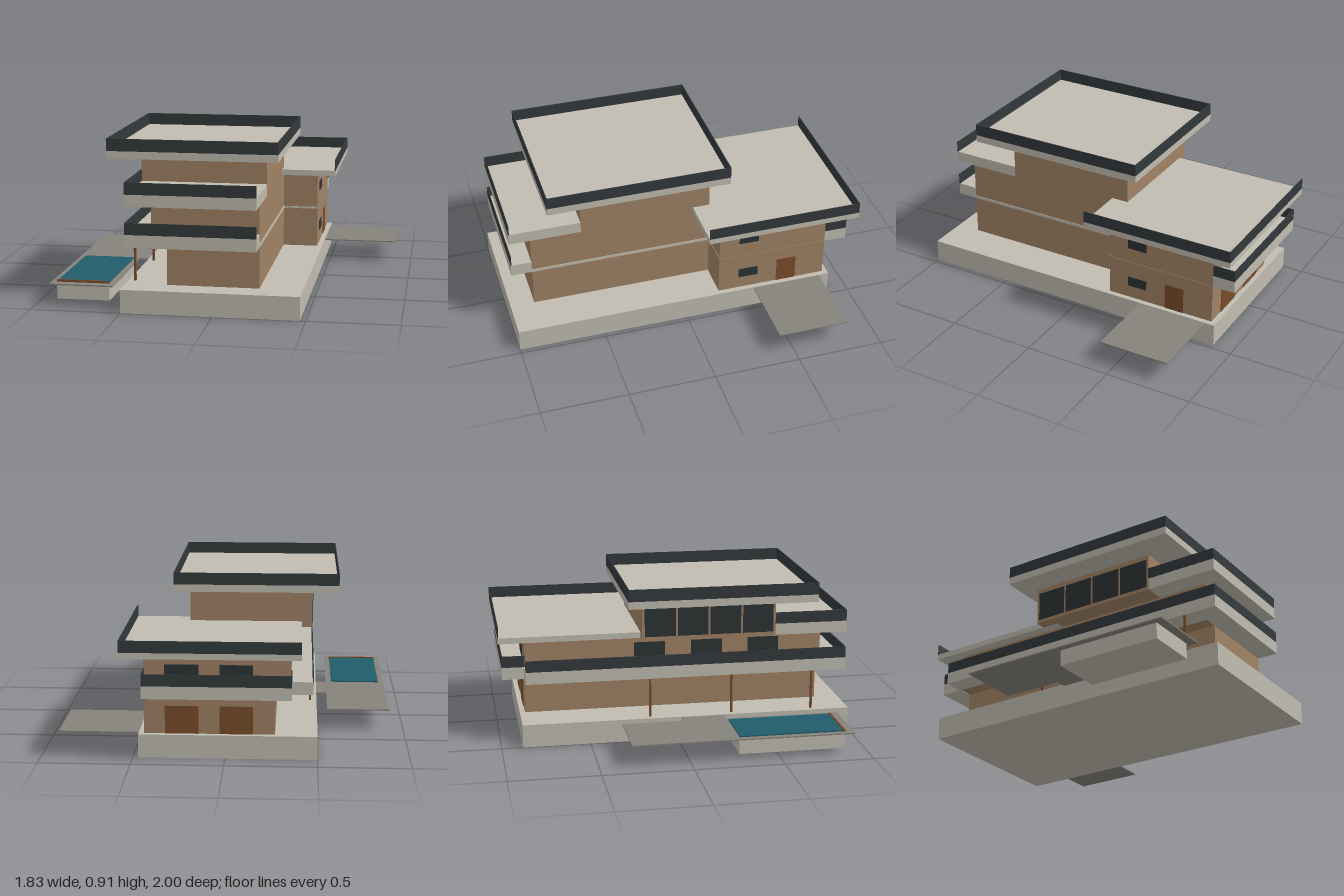
import * as THREE from 'three';

const material = (name, color) => {
  const m = new THREE.MeshStandardMaterial({ color });
  m.name = name;
  return m;
};

export function createModel() {
  const house = new THREE.Group();
  house.name = 'house';

  const concrete = material('concrete', 0xc0bcb0);
  const wall = material('wallTan', 0xa08264);
  const dark = material('parapetCharcoal', 0x33393b);
  const glass = material('windowGlass', 0x2b3234);
  const wood = material('doorWood', 0x7a4c2a);
  const paving = material('paving', 0x86827b);
  const water = material('poolWater', 0x215c6b);

  // Box given by its extents on each axis
  const box = (name, mat, [x0, x1], [y0, y1], [z0, z1], parent = house) => {
    const mesh = new THREE.Mesh(new THREE.BoxGeometry(x1 - x0, y1 - y0, z1 - z0), mat);
    mesh.position.set((x0 + x1) / 2, (y0 + y1) / 2, (z0 + z1) / 2);
    mesh.name = name;
    parent.add(mesh);
    return mesh;
  };

  // Slab with thin upright parapets on the chosen edges
  const T = 0.005;
  const terrace = (name, x, z, [y0, y1, y2], sides) => {
    const g = new THREE.Group();
    g.name = name;
    house.add(g);
    box('slab', concrete, x, [y0, y1], z, g);
    const edges = {
      left: [[x[0], x[0] + T], z],
      right: [[x[1] - T, x[1]], z],
      back: [x, [z[0], z[0] + T]],
      front: [x, [z[1] - T, z[1]]],
    };
    for (const s of sides) box('parapet', dark, edges[s][0], [y1, y2], edges[s][1], g);
  };

  // Plinth
  box('plinth', concrete, [-0.5, 0.47], [0, 0.13], [-0.88, 1.0]);

  // Walls, floor by floor
  box('groundFloor', wall, [-0.27, 0.235], [0.13, 0.36], [-0.85, 0.86]);
  box('groundWing', wall, [0.235, 0.44], [0.13, 0.36], [-0.85, -0.2]);
  box('middleFloor', wall, [-0.355, 0.235], [0.36, 0.58], [-0.85, 0.86]);
  box('middleWing', wall, [0.235, 0.44], [0.372, 0.58], [-0.85, -0.2]);
  box('wingFloorBand', wall, [0.235, 0.437], [0.36, 0.372], [-0.85, -0.203]);
  box('wingFloorEdge', concrete, [0.235, 0.44], [0.361, 0.371], [-0.203, -0.2]);
  box('floorEdge', concrete, [0.235, 0.238], [0.358, 0.375], [-0.2, 0.86]);
  box('upperFloor', wall, [-0.47, 0.235], [0.58, 0.8], [-0.2, 0.565]);

  // Balconies and roofs
  const low = [0.357, 0.427, 0.492];
  terrace('frontBalcony', [-0.475, 0.235], [0.86, 0.98], low, ['front']);
  terrace('sideBalcony', [-0.475, -0.355], [-0.855, 0.98], low, ['left']);
  terrace('backBalcony', [-0.36, 0.44], [-0.98, -0.85], low, ['back', 'left', 'right']);
  terrace('upperTerrace', [-0.475, 0.235], [0.565, 0.98], [0.58, 0.645, 0.71], ['front', 'left']);
  terrace('wingRoof', [-0.41, 0.555], [-1.0, -0.1], [0.58, 0.613, 0.678], ['back', 'right']);
  terrace('mainRoof', [-0.62, 0.322], [-0.297, 0.77], [0.8, 0.842, 0.91],
    ['left', 'right', 'front', 'back']);

  // Posts under the side balcony
  for (const z of [-0.155, 0.315, 0.785]) {
    box('post', wood, [-0.469, -0.457], [0.13, 0.357], [z - 0.006, z + 0.006]);
  }

  // Openings on the wing side
  for (const y of [0.205, 0.45]) box('sideWindow', glass, [0.44, 0.443], [y, y + 0.058], [-0.437, -0.32]);
  box('sideDoor', wood, [0.44, 0.443], [0.13, 0.283], [-0.673, -0.556]);

  // Openings at the back
  for (const x of [[0.143, 0.326], [-0.15, 0.03]]) {
    box('backDoor', wood, x, [0.13, 0.285], [-0.853, -0.85]);
    box('backWindow', glass, x, [0.427, 0.515], [-0.853, -0.85]);
  }

  // Glazing along the left side
  for (let i = 0; i < 4; i++) {
    const z = -0.185 + i * 0.187;
    box('upperGlazing', glass, [-0.473, -0.47], [0.6, 0.77], [z, z + 0.175]);
  }
  for (const z of [-0.23, 0.1, 0.43]) {
    box('middleWindow', glass, [-0.358, -0.355], [0.43, 0.54], [z, z + 0.18]);
  }

  // Paving
  box('poolDeck', paving, [-0.915, -0.56], [0.119, 0.126], [-0.325, 0.915]);
  box('deckLink', paving, [-0.56, -0.5], [0.119, 0.126], [0.02, 0.27]);
  box('driveway', paving, [0.47, 0.91], [0.119, 0.126], [-0.82, -0.41]);

  // Pool
  box('poolBasin', concrete, [-0.885, -0.59], [0.03, 0.118], [0.27, 0.865]);
  box('poolWater', water, [-0.882, -0.593], [0.126, 0.133], [0.272, 0.855]);
  box('poolEdge', wood, [-0.885, -0.59], [0.126, 0.138], [0.855, 0.866]);

  return house;
}
